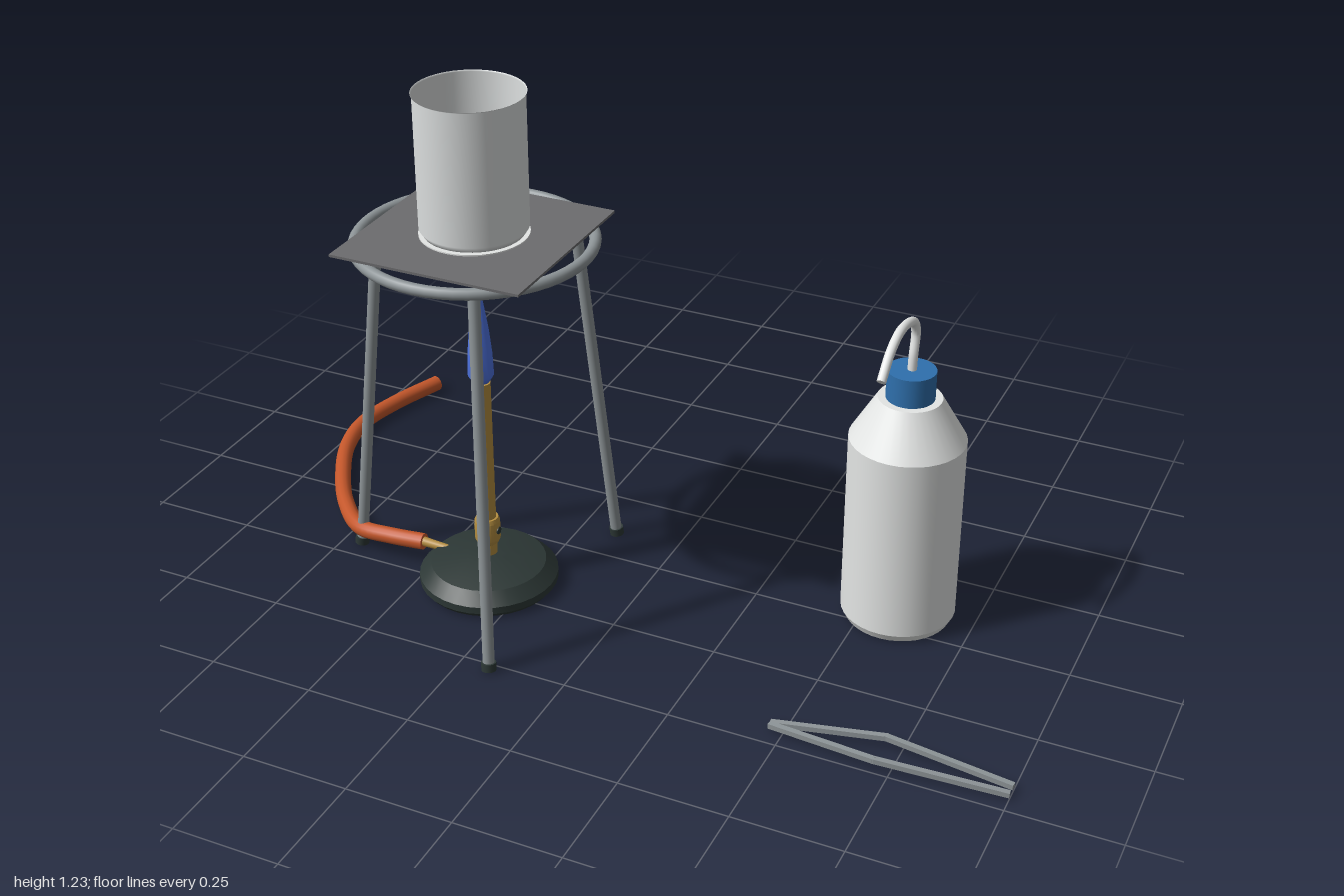
import * as THREE from 'three';
import { toCreasedNormals } from 'three/addons/utils/BufferGeometryUtils.js';

const V = (x, y, z) => new THREE.Vector3(x, y, z);

function material(name, color, side = THREE.FrontSide) {
  const m = new THREE.MeshStandardMaterial({ color, side });
  m.name = name;
  return m;
}

export function createModel() {
  const steel = material('steel', 0x8d9497);
  const wire = material('gauze grey', 0x6c6c6e);
  const iron = material('dark iron', 0x2c3735);
  const brass = material('brass', 0xb58e40);
  const rubber = material('orange rubber', 0xc4572b);
  const fire = material('flame blue', 0x4f74e3);
  const glass = material('glass', 0xdde0e0, THREE.DoubleSide);
  const liquid = material('water blue', 0x3a7fd0);
  const plastic = material('white plastic', 0xe4e6e5);
  const capBlue = material('cap blue', 0x2f70ad);

  const model = new THREE.Group();
  const group = (name, x, z) => {
    const g = new THREE.Group();
    g.name = name;
    g.position.set(x, 0, z);
    model.add(g);
    return g;
  };
  const add = (parent, name, geometry, mat, x = 0, y = 0, z = 0) => {
    const mesh = new THREE.Mesh(geometry, mat);
    mesh.name = name;
    mesh.position.set(x, y, z);
    parent.add(mesh);
    return mesh;
  };
  const lathe = (points, sides = 32) =>
    new THREE.LatheGeometry(points.map(([r, y]) => new THREE.Vector2(r, y)), sides);
  const turned = (points, sides) => toCreasedNormals(lathe(points, sides), 0.4);
  const aim = (mesh, from, to, axis = V(0, 1, 0)) => {
    mesh.position.copy(from).lerp(to, 0.5);
    mesh.quaternion.setFromUnitVectors(axis, to.clone().sub(from).normalize());
    return mesh;
  };
  const rod = (parent, name, from, to, r1, r2, mat, sides = 16) =>
    aim(add(parent, name, new THREE.CylinderGeometry(r2, r1, from.distanceTo(to), sides), mat), from, to);
  // Round tube along a curve, closed by a disc at each end
  const hose = (parent, name, points, radius, mat) => {
    const curve = new THREE.CatmullRomCurve3(points);
    add(parent, name, new THREE.TubeGeometry(curve, 64, radius, 14), mat);
    for (const [t, sign] of [[0, -1], [1, 1]]) {
      const end = add(parent, name + 'End', new THREE.CircleGeometry(radius, 14), mat);
      end.position.copy(curve.getPoint(t));
      end.quaternion.setFromUnitVectors(V(0, 0, 1), curve.getTangent(t).multiplyScalar(sign));
    }
  };

  // Burner: heavy foot, barrel, air collar with holes, flame
  const CX = -0.345, CZ = 0.207;
  const burner = group('burner', CX, CZ);
  add(burner, 'base', turned([[0, 0.003], [0.153, 0.003], [0.163, 0.015], [0.163, 0.032],
    [0.135, 0.06], [0.05, 0.081], [0, 0.081]], 32), iron);
  add(burner, 'barrel', turned([[0, 0.07], [0.021, 0.07], [0.021, 0.535], [0.015, 0.535],
    [0.015, 0.5], [0, 0.5]], 24), brass);
  add(burner, 'airCollar', turned([[0.021, 0.108], [0.026, 0.112], [0.03, 0.122], [0.03, 0.168],
    [0.026, 0.178], [0.021, 0.178]], 24), brass);
  for (let i = 0; i < 4; i++) {
    const a = i * Math.PI / 2;
    rod(burner, 'airHole', V(Math.sin(a) * 0.022, 0.146, Math.cos(a) * 0.022),
      V(Math.sin(a) * 0.0315, 0.146, Math.cos(a) * 0.0315), 0.009, 0.009, iron);
  }
  add(burner, 'flame', lathe([[0, 0.535], [0.019, 0.537], [0.03, 0.555], [0.028, 0.61],
    [0.022, 0.67], [0.012, 0.735], [0, 0.795]], 16), fire);
  rod(burner, 'gasInlet', V(-0.19, 0.06, 0), V(-0.07, 0.056, 0), 0.012, 0.008, brass);

  // Hose lying on the bench
  const gasLine = group('gasLine', 0, 0);
  hose(gasLine, 'gasHose', [V(-0.52, 0.059, 0.207), V(-0.61, 0.055, 0.212), V(-0.70, 0.045, 0.198),
    V(-0.80, 0.034, 0.107), V(-0.89, 0.025, -0.02), V(-0.957, 0.023, -0.15), V(-0.981, 0.023, -0.27),
    V(-0.958, 0.023, -0.40), V(-0.912, 0.023, -0.535)], 0.02, rubber);

  // Tripod: ring and three splayed legs with dark feet
  const tripod = group('tripod', CX, CZ);
  const ring = add(tripod, 'ring', new THREE.TorusGeometry(0.262, 0.0135, 14, 56), steel, 0, 0.888, 0);
  ring.rotation.x = Math.PI / 2;
  for (let i = 0; i < 3; i++) {
    const a = (61.7 + i * 120) * Math.PI / 180;
    const at = (r, y) => V(Math.cos(a) * r, y, Math.sin(a) * r);
    rod(tripod, 'leg', at(0.355, 0.012), at(0.252, 0.886), 0.0135, 0.0135, steel);
    rod(tripod, 'legFoot', at(0.357, 0.003), at(0.3545, 0.022), 0.017, 0.017, iron);
  }

  // Wire gauze with its pale centre disc
  add(tripod, 'gauze', new THREE.BoxGeometry(0.455, 0.006, 0.455), wire, 0, 0.904, 0);
  add(tripod, 'gauzeCentre', new THREE.CylinderGeometry(0.122, 0.122, 0.003, 40), plastic, 0, 0.9085, 0);

  // Open beaker with a slight lip, and its water
  const beaker = group('beaker', CX, CZ);
  add(beaker, 'beakerWall', lathe([[0, 0.911], [0.112, 0.911], [0.121, 0.925], [0.121, 1.231],
    [0.124, 1.234]], 40), glass);
  add(beaker, 'water', new THREE.CylinderGeometry(0.118, 0.112, 0.13, 40), liquid, 0, 0.985, 0);

  // Wash bottle: body, cap and bent spout
  const bottle = group('washBottle', 0.572, -0.073);
  add(bottle, 'bottleBody', turned([[0, 0.003], [0.122, 0.003], [0.132, 0.022], [0.132, 0.468],
    [0.072, 0.57], [0, 0.57]], 36), plastic);
  add(bottle, 'bottleCap', new THREE.CylinderGeometry(0.055, 0.055, 0.075, 28), capBlue, 0, 0.6005, 0);
  hose(bottle, 'spout', [V(0, 0.62, 0), V(0, 0.67, -0.003), V(0, 0.725, -0.012), V(0, 0.756, 0.005),
    V(0, 0.774, 0.05), V(0, 0.778, 0.105), V(0, 0.757, 0.16), V(0, 0.712, 0.21)], 0.0105, plastic);

  // Tweezers: two bowed arms mirrored about their long axis
  const tweezers = group('tweezers', 0, 0.45);
  for (const s of [-1, 1]) {
    const path = [V(0.47, 0.012, s * 0.004), V(0.715, 0.028, s * 0.041), V(0.998, 0.016, s * 0.014)];
    for (let i = 0; i < 2; i++) {
      const length = path[i].distanceTo(path[i + 1]) + 0.006;
      aim(add(tweezers, 'tweezerArm', new THREE.BoxGeometry(length, 0.012, 0.013), steel),
        path[i], path[i + 1], V(1, 0, 0));
    }
  }
  return model;
}
